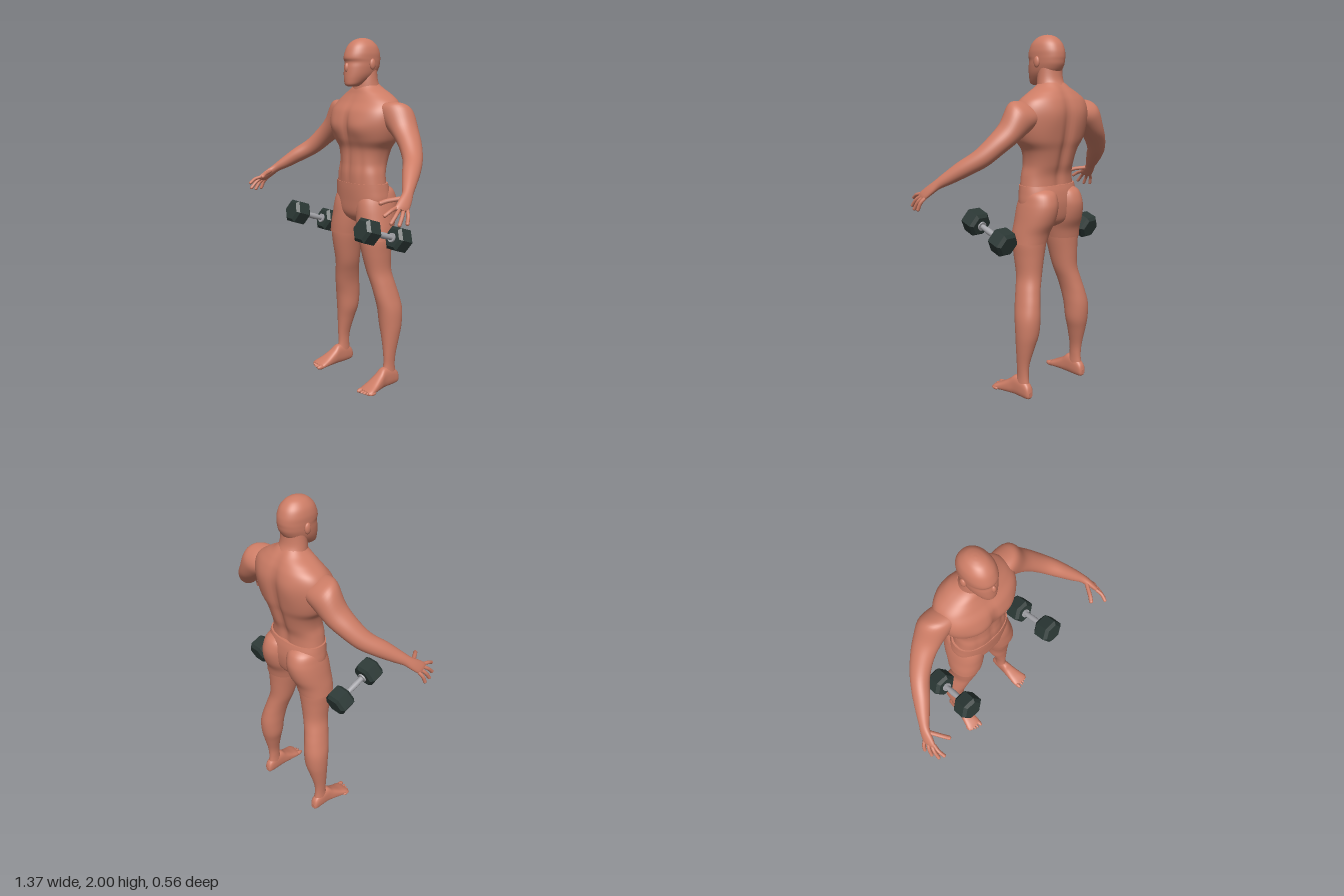
import * as THREE from 'three';
import { mergeGeometries } from 'three/addons/utils/BufferGeometryUtils.js';

const X = new THREE.Vector3(1, 0, 0), Y = new THREE.Vector3(0, 1, 0), Z = new THREE.Vector3(0, 0, 1);

// Smooth value through a list of rows
function sample(rows, t, k) {
  const n = rows.length - 1, i = Math.min(Math.floor(t * n), n - 1), f = t * n - i;
  const g = (j) => rows[Math.max(0, Math.min(n, j))][k];
  const a = g(i - 1), b = g(i), c = g(i + 1), d = g(i + 2);
  return b + 0.5 * f * (c - a + f * (2 * a - 5 * b + 4 * c - d + f * (3 * (b - c) + d - a)));
}

// Closed skin over rings; each row is [cx, cy, cz, radius along u, radius along v]
function loft(rows, u, v, { sides = 40, steps = 5, power = 2, warp } = {}) {
  const pos = [], idx = [], total = (rows.length - 1) * steps;
  const p = new THREE.Vector3();
  const bend = (s) => Math.sign(s) * Math.abs(s) ** (2 / power);
  for (let i = 0; i <= total; i++) {
    const [x, y, z, a, b] = [0, 1, 2, 3, 4].map((k) => sample(rows, i / total, k));
    for (let j = 0; j < sides; j++) {
      const t = (j / sides) * Math.PI * 2;
      p.set(x, y, z).addScaledVector(u, a * bend(Math.cos(t))).addScaledVector(v, b * bend(Math.sin(t)));
      if (warp) warp(p);
      pos.push(p.x, p.y, p.z);
    }
  }
  const first = rows[0], last = rows[rows.length - 1];
  const dir = new THREE.Vector3(last[0] - first[0], last[1] - first[1], last[2] - first[2]);
  const flip = dir.dot(u.clone().cross(v)) < 0;
  const tri = (a, b, c) => (flip ? idx.push(a, c, b) : idx.push(a, b, c));
  for (let i = 0; i < total; i++) for (let j = 0; j < sides; j++) {
    const k = (j + 1) % sides, a = i * sides, b = a + sides;
    tri(a + j, a + k, b + k);
    tri(a + j, b + k, b + j);
  }
  // Flat end caps with their own vertices
  for (const [row, ring, out] of [[first, 0, -1], [last, total, 1]]) {
    const base = pos.length / 3;
    for (let j = 0; j < sides * 3; j++) pos.push(pos[ring * sides * 3 + j]);
    pos.push(row[0], row[1], row[2]);
    for (let j = 0; j < sides; j++) {
      const k = (j + 1) % sides;
      if (out > 0) tri(base + sides, base + j, base + k);
      else tri(base + sides, base + k, base + j);
    }
  }
  const geo = new THREE.BufferGeometry();
  geo.setAttribute('position', new THREE.Float32BufferAttribute(pos, 3));
  geo.setIndex(idx);
  geo.computeVertexNormals();
  return geo;
}

// Rows [y, x0, x1, zFront, zBack] stacked upward, and rows [z, x0, x1, y0, y1] laid along z
const stack = (rows, opts) => loft(rows.map(([y, a, b, f, k]) =>
  [(a + b) / 2, y, (f + k) / 2, (b - a) / 2, (f - k) / 2]), X, Z, opts);
const lay = (rows, opts) => loft(rows.map(([z, a, b, c, d]) =>
  [(a + b) / 2, (c + d) / 2, z, (b - a) / 2, (d - c) / 2]), X, Y, opts);
const central = (rows, opts) => stack(rows.map(([y, w, f, b]) => [y, -w, w, f, b]), opts);

function ball(x, y, z, rx, ry, rz) {
  return new THREE.SphereGeometry(1, 20, 14).scale(rx, ry, rz).translate(x, y, z);
}

// Bent tube with a rounded tip
function finger(points, r) {
  const pts = points.map((p) => new THREE.Vector3(...p)), end = pts[pts.length - 1];
  return mergeGeometries([
    new THREE.TubeGeometry(new THREE.CatmullRomCurve3(pts), 8, r, 10),
    ball(end.x, end.y, end.z, r, r, r),
  ]);
}

function mirrored(geo) {
  const g = geo.clone().scale(-1, 1, 1), a = g.index.array;
  for (let i = 0; i < a.length; i += 3) [a[i], a[i + 1]] = [a[i + 1], a[i]];
  return g;
}

const bump = (d, w) => Math.exp(-((d / w) ** 2));

// Chest, belly line, spine furrow and shoulder blades
function muscles(p) {
  const x = Math.abs(p.x);
  if (p.z > -0.11) {
    const k = Math.min(1, (p.z + 0.11) / 0.06);
    p.z += k * (0.012 * bump(x - 0.1, 0.07) * bump(p.y - 1.51, 0.055)
      - 0.014 * bump(x, 0.022) * bump(p.y - 1.53, 0.09)
      - 0.006 * bump(x, 0.016) * bump(p.y - 1.3, 0.1)
      - 0.005 * bump(x - 0.09, 0.02) * bump(p.y - 1.29, 0.09));
  } else {
    const k = Math.min(1, (-0.11 - p.z) / 0.06);
    p.z += k * (0.02 * bump(x, 0.03) * bump(p.y - 1.42, 0.25)
      - 0.008 * bump(x - 0.1, 0.06) * bump(p.y - 1.58, 0.09));
  }
}

export function createModel() {
  const model = new THREE.Group();
  const skin = new THREE.MeshStandardMaterial({ color: 0xcd7d66 });
  const iron = new THREE.MeshStandardMaterial({ color: 0x2b3835 });
  const steel = new THREE.MeshStandardMaterial({ color: 0xa3a3a8 });
  skin.name = 'skin'; iron.name = 'dark iron'; steel.name = 'steel';

  const add = (name, geo, mat = skin, parent = model) => {
    const m = new THREE.Mesh(geo, mat);
    m.name = name;
    parent.add(m);
    return m;
  };
  const pair = (name, geo) => {
    add('left' + name, geo);
    add('right' + name, mirrored(geo));
  };

  // Head and neck
  add('head', central([
    [1.737, 0.02, -0.005, -0.06], [1.747, 0.04, 0.01, -0.085], [1.775, 0.058, 0.013, -0.14],
    [1.805, 0.071, 0.012, -0.182], [1.84, 0.078, 0.009, -0.204], [1.868, 0.08, 0.004, -0.21],
    [1.89, 0.081, 0.011, -0.212], [1.92, 0.08, 0.004, -0.208], [1.955, 0.07, -0.013, -0.193],
    [1.983, 0.048, -0.042, -0.165], [1.996, 0.024, -0.075, -0.135], [2.0, 0.004, -0.1, -0.11],
  ], { power: 2.15, sides: 48 }));
  add('nose', ball(0, 1.838, 0.006, 0.013, 0.026, 0.014));
  pair('Ear', ball(0.083, 1.857, -0.108, 0.012, 0.03, 0.019));
  add('neck', central([
    [1.66, 0.1, -0.05, -0.25], [1.72, 0.083, -0.058, -0.218], [1.77, 0.075, -0.062, -0.192],
    [1.84, 0.07, -0.07, -0.185],
  ]));

  // Torso
  add('torso', central([
    [1.17, 0.172, -0.002, -0.205], [1.25, 0.161, 0, -0.205], [1.315, 0.153, -0.005, -0.225],
    [1.39, 0.17, -0.006, -0.245], [1.45, 0.212, 0.012, -0.262], [1.53, 0.236, 0.025, -0.273],
    [1.6, 0.236, 0.012, -0.275], [1.655, 0.21, -0.025, -0.263], [1.695, 0.155, -0.048, -0.243],
    [1.725, 0.1, -0.06, -0.222], [1.75, 0.07, -0.075, -0.2],
  ], { power: 2.35, sides: 96, steps: 7, warp: muscles }));

  // Arm, from inside the shoulder to the knuckles
  const v = new THREE.Vector3(0.67, 0.74, 0).normalize();
  const u = new THREE.Vector3(0.67, -0.61, 0.34).cross(v).normalize();
  pair('Arm', loft([
    [0.12, 1.6, -0.15, 0.07, 0.055], [0.19, 1.594, -0.15, 0.086, 0.08], [0.25, 1.571, -0.15, 0.088, 0.09],
    [0.32, 1.495, -0.142, 0.076, 0.064], [0.385, 1.433, -0.118, 0.064, 0.055],
    [0.45, 1.367, -0.075, 0.055, 0.05], [0.51, 1.315, -0.01, 0.051, 0.044],
    [0.565, 1.263, 0.055, 0.039, 0.034], [0.6, 1.23, 0.098, 0.031, 0.024],
    [0.622, 1.2, 0.135, 0.037, 0.02], [0.638, 1.172, 0.168, 0.04, 0.016], [0.645, 1.16, 0.182, 0.033, 0.01],
  ], u, v, { sides: 40 }));

  // Hand: four fingers and a thumb
  const tips = [[0.676, 1.1, 0.168], [0.668, 1.098, 0.213], [0.653, 1.11, 0.252], [0.629, 1.146, 0.272]];
  const hand = tips.map((tip, i) => {
    const base = new THREE.Vector3(0.638, 1.168, 0.172).addScaledVector(u, (i - 1.5) * 0.021);
    const mid = base.clone().lerp(new THREE.Vector3(...tip), 0.5).addScaledVector(v, 0.008);
    return finger([base.toArray(), mid.toArray(), tip], 0.0098);
  });
  hand.push(finger([[0.612, 1.213, 0.13], [0.585, 1.206, 0.175], [0.566, 1.2, 0.207], [0.55, 1.19, 0.23]], 0.0115));
  pair('Fingers', mergeGeometries(hand));

  // Shorts: waist and two legs
  add('shortsWaist', central([
    [0.965, 0.03, -0.06, -0.17], [0.99, 0.1, -0.025, -0.205], [1.03, 0.17, -0.005, -0.222],
    [1.1, 0.188, 0, -0.23], [1.16, 0.183, 0.003, -0.224], [1.2, 0.178, 0.003, -0.213],
  ], { power: 2.3, sides: 64 }));
  pair('ShortsLeg', stack([
    [0.885, 0.035, 0.226, 0.002, -0.2], [0.94, 0.022, 0.22, 0.003, -0.212], [1.0, 0.008, 0.21, 0.001, -0.24],
    [1.06, 0.004, 0.2, -0.002, -0.256], [1.11, 0.004, 0.189, -0.012, -0.256],
    [1.16, 0.01, 0.172, -0.035, -0.235], [1.19, 0.04, 0.13, -0.06, -0.19],
  ], { power: 2.15 }));

  // Bare leg
  pair('Leg', stack([
    [0.02, 0.196, 0.243, -0.085, -0.193], [0.07, 0.19, 0.246, -0.085, -0.184], [0.13, 0.191, 0.244, -0.1, -0.176],
    [0.2, 0.186, 0.249, -0.1, -0.181], [0.3, 0.161, 0.26, -0.096, -0.206], [0.38, 0.138, 0.266, -0.09, -0.225],
    [0.47, 0.13, 0.264, -0.08, -0.23], [0.55, 0.121, 0.247, -0.064, -0.218], [0.62, 0.104, 0.23, -0.052, -0.202],
    [0.7, 0.078, 0.212, -0.036, -0.188], [0.8, 0.056, 0.215, -0.015, -0.19], [0.88, 0.039, 0.22, -0.004, -0.195],
    [0.95, 0.03, 0.213, -0.006, -0.2],
  ], { power: 2.1 }));

  // Foot and toes
  const foot = [lay([
    [-0.202, 0.205, 0.232, 0.015, 0.045], [-0.19, 0.194, 0.243, 0.003, 0.08], [-0.15, 0.189, 0.248, 0, 0.11],
    [-0.09, 0.187, 0.252, 0, 0.12], [-0.05, 0.184, 0.262, 0, 0.09], [0, 0.181, 0.275, 0, 0.058],
    [0.04, 0.181, 0.284, 0, 0.038], [0.06, 0.19, 0.276, 0.004, 0.026],
  ], { power: 2.5 })];
  for (let i = 0; i < 5; i++) {
    const r = i ? 0.0095 : 0.0145;
    const toe = ball(i ? 0.205 + i * 0.0182 : 0.197, 0.015, 0.055 - i * i * 0.0012, r, r, 0.032 - i * 0.002);
    toe.deleteAttribute('uv');
    foot.push(toe);
  }
  pair('Foot', mergeGeometries(foot));

  // Dumbbells: hexagonal heads with bevelled rims on a steel bar
  const P = (r, y) => new THREE.Vector2(r, y);
  const headGeo = new THREE.LatheGeometry(
    [P(0, -0.052), P(0.056, -0.052), P(0.074, -0.036), P(0.074, 0.036), P(0.056, 0.052), P(0, 0.052)], 6,
  ).rotateY(Math.PI / 6).rotateX(Math.PI / 2).toNonIndexed();
  headGeo.computeVertexNormals();
  const barGeo = new THREE.LatheGeometry(
    [P(0.014, -0.08), P(0.0145, -0.05), P(0.018, 0), P(0.0145, 0.05), P(0.014, 0.08)], 24,
  ).rotateX(Math.PI / 2);
  const collarGeo = new THREE.CylinderGeometry(0.026, 0.026, 0.012, 24).rotateX(Math.PI / 2);
  for (const s of [1, -1]) {
    const bell = new THREE.Group();
    bell.name = s > 0 ? 'leftDumbbell' : 'rightDumbbell';
    bell.position.set(0.326 * s, 0.953, 0.013);
    bell.rotation.x = -0.33;
    add('dumbbellBar', barGeo, steel, bell);
    for (const e of [1, -1]) {
      add('dumbbellHead', headGeo, iron, bell).position.z = 0.119 * e;
      add('dumbbellCollar', collarGeo, steel, bell).position.z = 0.064 * e;
    }
    model.add(bell);
  }
  return model;
}
